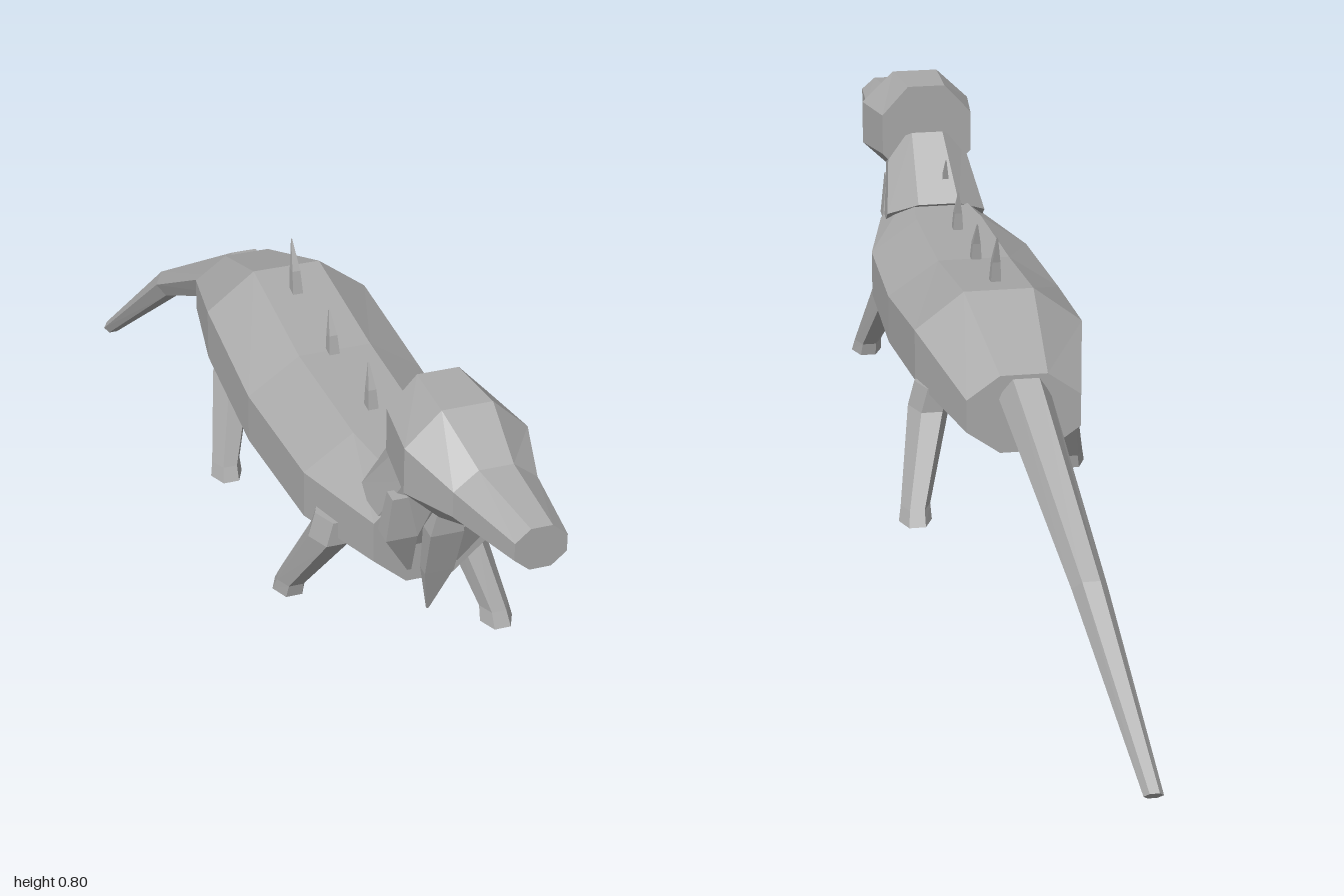
import * as THREE from 'three';

const grey = new THREE.MeshStandardMaterial({ color: 0xaaaaaa, flatShading: true });
grey.name = 'stone grey';

// Lofts a closed polygon tube through sections [x, y, z, halfWidth, halfHeight, pitch].
// Pitch 0 faces forward (+z); pitch PI/2 faces up.
function loft(name, sections, sides) {
  const pos = [], index = [];
  const grow = 1 / Math.cos(Math.PI / sides);
  for (const [x, y, z, rx, ry, p = 0] of sections) {
    for (let i = 0; i < sides; i++) {
      const a = ((i + 0.5) / sides) * Math.PI * 2 + Math.PI / 2;
      const u = Math.cos(a) * rx * grow, v = Math.sin(a) * ry * grow;
      pos.push(x + u, y + v * Math.cos(p), z - v * Math.sin(p));
    }
  }
  const last = sections.length - 1;
  for (let s = 0; s < last; s++) {
    for (let i = 0; i < sides; i++) {
      const a = s * sides + i, b = s * sides + (i + 1) % sides;
      index.push(a, b, b + sides, a, b + sides, a + sides);
    }
  }
  // end caps
  for (let i = 1; i < sides - 1; i++) {
    index.push(0, i + 1, i);
    index.push(last * sides, last * sides + i, last * sides + i + 1);
  }
  const g = new THREE.BufferGeometry();
  g.setAttribute('position', new THREE.Float32BufferAttribute(pos, 3));
  g.setIndex(index);
  const flat = g.toNonIndexed();
  flat.computeVertexNormals();
  const mesh = new THREE.Mesh(flat, grey);
  mesh.name = name;
  return mesh;
}

export function createModel() {
  const model = new THREE.Group();
  model.name = 'lizard';

  // Long octagonal body, rump to chest
  model.add(loft('body', [
    [-0.03, 0.47, -0.33, 0.11, 0.08],
    [-0.015, 0.507, -0.11, 0.165, 0.128],
    [-0.005, 0.473, 0.16, 0.175, 0.122],
    [0.008, 0.466, 0.43, 0.165, 0.117],
    [0.02, 0.475, 0.63, 0.11, 0.1],
  ], 8));

  // Neck rising forward out of the chest
  model.add(loft('neck', [
    [0.02, 0.53, 0.58, 0.105, 0.095, 0.93],
    [0.03, 0.66, 0.665, 0.08, 0.075, 0.8],
  ], 8));

  // Head and snout
  model.add(loft('head', [
    [0.03, 0.708, 0.62, 0.095, 0.105],
    [0.04, 0.698, 0.74, 0.115, 0.112],
    [0.057, 0.68, 0.84, 0.078, 0.062],
    [0.08, 0.672, 0.995, 0.048, 0.042],
  ], 8));

  // Tail, tip to base
  model.add(loft('tail', [
    [-0.158, 0.018, -0.99, 0.016, 0.013, 0.72],
    [-0.092, 0.285, -0.7, 0.029, 0.027, 0.65],
    [-0.032, 0.505, -0.325, 0.044, 0.046, 0.4],
  ], 6));

  // Legs: side, foot z, hip z
  const up = Math.PI / 2;
  const legs = [
    ['leftFrontLeg', 1, 0.597, 0.485],
    ['rightFrontLeg', -1, 0.375, 0.485],
    ['leftBackLeg', 1, -0.255, -0.125],
    ['rightBackLeg', -1, -0.032, -0.125],
  ];
  for (const [name, side, foot, hip] of legs) {
    const ankle = foot + (hip - foot) * 0.1;
    model.add(loft(name, [
      [side * 0.17, 0.222, foot, 0.028, 0.035, up],
      [side * 0.168, 0.25, ankle, 0.025, 0.03, up],
      [side * 0.125, 0.41, hip, 0.036, 0.045, up],
      [side * 0.112, 0.46, hip, 0.036, 0.045, up],
    ], 6));
  }

  // Thin back spikes, leaning to the tail: x, base y, base z, tip y, tip z
  const spikes = [
    [0.0, 0.56, 0.56, 0.675, 0.532],
    [0.0, 0.575, 0.36, 0.672, 0.34],
    [-0.01, 0.585, 0.165, 0.677, 0.14],
    [-0.02, 0.61, -0.03, 0.725, -0.06],
  ];
  for (const [x, y, z, tipY, tipZ] of spikes) {
    model.add(loft('backSpike', [
      [x, y, z, 0.011, 0.013, up],
      [x, (y + tipY) / 2, z * 0.7 + tipZ * 0.3, 0.008, 0.009, up],
      [x, tipY, tipZ, 0.001, 0.001, up],
    ], 4));
  }

  // Hanging throat spike
  model.add(loft('throatSpike', [
    [0.005, 0.33, 0.662, 0.002, 0.002, up],
    [0.015, 0.43, 0.68, 0.028, 0.013, up],
    [0.018, 0.53, 0.7, 0.032, 0.02, up],
    [0.018, 0.61, 0.705, 0.012, 0.015, up],
  ], 4));

  // Smaller frills either side of the throat
  for (const side of [-1, 1]) {
    model.add(loft('throatFrill', [
      [0.02 + side * 0.045, 0.41, 0.64, 0.004, 0.004, up],
      [0.02 + side * 0.075, 0.51, 0.66, 0.03, 0.022, up],
      [0.02 + side * 0.08, 0.6, 0.67, 0.015, 0.015, up],
    ], 4));
  }

  return model;
}
